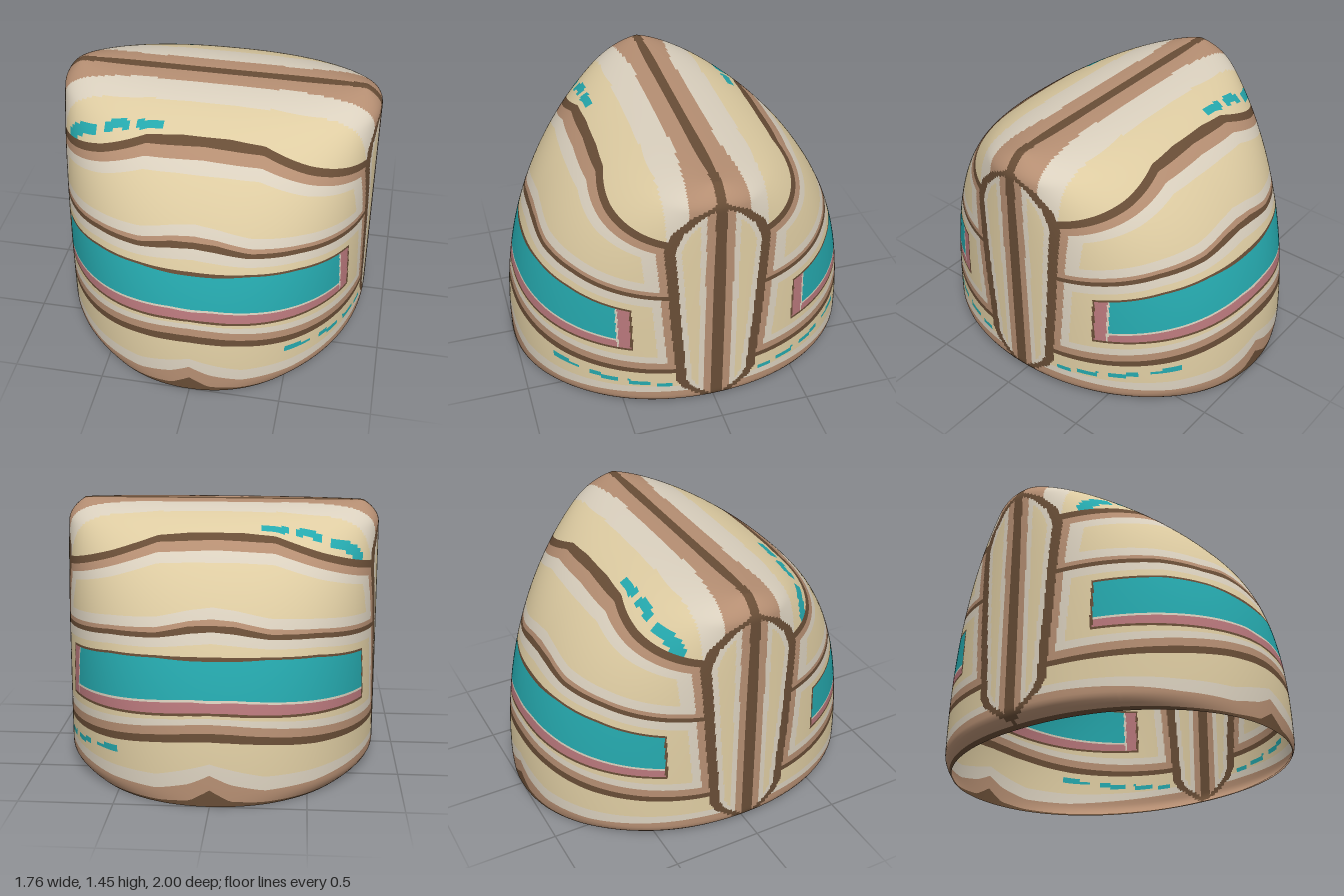
import * as THREE from 'three';

const HEIGHT = 1.45, POWER = 2.25;
const PALETTE = {
  cream: 0xdecca2, sand: 0xdad0be, tan: 0xb58e72, brown: 0x684d36, teal: 0x25a8ad, rose: 0xb8777b,
};
const NAMES = Object.keys(PALETTE);

// Curve stations across the width; each stripe's upper edge is given at these
const STATIONS = [0, 0.12, 0.3, 0.55, 0.85];
const STRIPES = [
  ['hem', 'brown', [0.09, 0.03, 0.015, 0.012, 0.015]],
  ['hem', 'tan', [0.17, 0.12, 0.08, 0.085, 0.12]],
  ['hem', 'sand', [0.23, 0.2, 0.155, 0.15, 0.16]],
  ['lower', 'cream', [0.345, 0.34, 0.325, 0.29, 0.26]],
  ['seam', 'brown', [0.39, 0.385, 0.365, 0.33, 0.29]],
  ['panel', 'tan', [0.435, 0.43, 0.41, 0.375, 0.335]],
  ['panel', 'sand', [0.465, 0.46, 0.445, 0.415, 0.38]],
  ['panel', 'cream', [0.48, 0.475, 0.462, 0.442, 0.422]],
  ['outline', 'brown', [0.492, 0.49, 0.475, 0.455, 0.435]],
  ['badge', 'rose', [0.54, 0.545, 0.53, 0.505, 0.475]],
  ['badge', 'sand', [0.555, 0.557, 0.542, 0.517, 0.487]],
  ['badge', 'teal', [0.745, 0.745, 0.75, 0.735, 0.685]],
  ['outline', 'brown', [0.767, 0.765, 0.762, 0.747, 0.697]],
  ['panel', 'cream', [0.83, 0.82, 0.8, 0.785, 0.735]],
  ['panel', 'sand', [0.885, 0.875, 0.845, 0.83, 0.785]],
  ['seam', 'brown', [0.915, 0.91, 0.87, 0.855, 0.81]],
  ['panel', 'tan', [0.945, 0.935, 0.895, 0.875, 0.835]],
  ['panel', 'sand', [1.0, 0.985, 0.945, 0.925, 0.885]],
  ['panel', 'cream', [1.2, 1.2, 1.19, 1.11, 1.03]],
  ['panel', 'sand', [1.255, 1.25, 1.24, 1.16, 1.07]],
  ['panel', 'tan', [1.3, 1.295, 1.285, 1.2, 1.11]],
  ['seam', 'brown', [1.33, 1.33, 1.315, 1.235, 1.15]],
];

function interpolate(xs, ys, x) {
  if (x <= xs[0]) return ys[0];
  for (let i = 1; i < xs.length; i++) {
    if (x <= xs[i]) return THREE.MathUtils.lerp(ys[i - 1], ys[i], (x - xs[i - 1]) / (xs[i] - xs[i - 1]));
  }
  return ys[ys.length - 1];
}

// Dome profile: depth at a height, and its inverse
const depthAt = (y) => Math.pow(Math.max(0, 1 - Math.pow(y / HEIGHT, POWER)), 1 / POWER);
const heightAt = (d) => HEIGHT * Math.pow(Math.max(0, 1 - Math.pow(d, POWER)), 1 / POWER);

// Point on the cloth: rounded-oval sections flattening to a straight ridge
function surfacePoint(angle, y) {
  const n = 2.1 + 0.25 * Math.pow(y / HEIGHT, 2);
  const c = Math.cos(angle), s = Math.sin(angle);
  const top = Math.max(0, (y - 1.33) / 0.12), bottom = Math.max(0, (0.08 - y) / 0.08);
  const a = 0.88 - 0.09 * top * top - 0.08 * bottom * bottom;
  return [
    a * Math.sign(c) * Math.pow(Math.abs(c), 2 / n), y,
    depthAt(y) * Math.sign(s) * Math.pow(Math.abs(s), 2 / n),
  ];
}

// Half-width of the pointed panel on each side
const ARCH_Y = [0.02, 0.05, 0.14, 0.2, 0.6, 1.1, 1.2, 1.3, 1.38];
const ARCH_Z = [0, 0.06, 0.19, 0.225, 0.255, 0.285, 0.245, 0.15, 0];

const inRanges = (v, ranges) => ranges.some(([a, b]) => v >= a && v <= b);

// Stitch dashes: high on the right, low on the left
function isDash(zone, x, y, z) {
  if (zone === 'crown' && x < 0) {
    const line = 0.42 - Math.max(0, -x - 0.62) * 0.4;
    return Math.abs(z - line) < 0.022 && inRanges(-x, [[0.24, 0.37], [0.41, 0.55], [0.6, 0.78]]);
  }
  if (zone === 'lower' && x > 0) {
    const line = interpolate([0.26, 0.6, 0.84], [0.17, 0.205, 0.24], z);
    return Math.abs(y - line) < 0.014 && inRanges(z, [[0.25, 0.33], [0.37, 0.48], [0.53, 0.67], [0.72, 0.84]]);
  }
  return false;
}

function colourOf(zone, colour, row, x, y, zSigned) {
  const z = Math.abs(zSigned);
  const arch = y > 1.38 ? 0 : interpolate(ARCH_Y, ARCH_Z, y);

  // Ribbed side panel and its border
  if (z < arch) {
    if (z < 0.03) return 'brown';
    if (z > arch - 0.055) return 'brown';
    if (z < 0.075) return 'tan';
    if (z < 0.105) return 'sand';
    return z < arch - 0.085 ? 'cream' : 'sand';
  }
  if (isDash(zone, x, y, z)) return 'teal';
  // Ridge stripes over the crown
  if (zone === 'crown') {
    const flare = Math.max(0, Math.abs(x) - 0.45) * 0.1;
    if (z < 0.025) return 'brown';
    if (z < 0.12 + flare) return 'tan';
    return z < 0.27 ? 'sand' : 'cream';
  }
  // Nested borders beside the side panel
  const gap = z - arch;
  if (zone === 'panel' || zone === 'outline' || zone === 'badge') {
    if (gap < 0.04) return 'tan';
    if (gap < (row > 15 ? 0.11 : 0.085) && colour !== 'tan') return 'sand';
  }
  // Ends of the framed badge
  if (zone === 'outline' && z < 0.45) return 'cream';
  if (zone === 'badge') {
    if (z < 0.45) return 'cream';
    if (z < 0.462) return 'brown';
    if (x > 0 && z < 0.52) return 'rose';
    if (x > 0 && z < 0.53) return 'sand';
  }
  return colour;
}

// Rows follow the stripes, then close in evenly to the ridge
function buildRows() {
  const rows = [{ height: () => 0 }];
  let lower = [0, 0, 0, 0, 0];
  STRIPES.forEach(([zone, colour, upper], index) => {
    const base = lower;
    const steps = Math.ceil((upper[0] - base[0]) / 0.015);
    for (let k = 1; k <= steps; k++) {
      const edge = base.map((b, i) => THREE.MathUtils.lerp(b, upper[i], k / steps));
      rows.push({ zone, colour, index, height: (x) => interpolate(STATIONS, edge, x) });
    }
    lower = upper;
  });
  const crownSteps = 34;
  for (let k = 1; k <= crownSteps; k++) {
    const f = 1 - k / crownSteps;
    rows.push({
      zone: 'crown', colour: 'cream', index: 99,
      height: (x) => heightAt(f * depthAt(interpolate(STATIONS, lower, x))),
    });
  }
  return rows;
}

// Columns are finer near the detailed sides
function buildAngles() {
  const quarter = [];
  for (let i = 0; i < 64; i++) quarter.push(0.6 * i / 64);
  for (let i = 0; i < 40; i++) quarter.push(0.6 + (Math.PI / 2 - 0.6) * i / 40);
  const half = [...quarter, Math.PI / 2, ...quarter.slice(1).reverse().map((a) => Math.PI - a)];
  return [...half, ...half.map((a) => a + Math.PI)];
}

export function createModel() {
  const rows = buildRows(), angles = buildAngles(), n = angles.length;
  const points = [];
  for (const row of rows) {
    for (const angle of angles) {
      const across = 0.88 * Math.pow(Math.abs(Math.cos(angle)), 0.9);
      points.push(surfacePoint(angle, row.height(across)));
    }
  }

  // Sort the cloth's cells by colour
  const faces = Object.fromEntries(NAMES.map((name) => [name, []]));
  for (let j = 1; j < rows.length; j++) {
    for (let i = 0; i < n; i++) {
      const a = (j - 1) * n + i, b = (j - 1) * n + (i + 1) % n, c = a + n, d = b + n;
      const mid = [0, 1, 2].map((k) => (points[a][k] + points[b][k] + points[c][k] + points[d][k]) / 4);
      const { zone, colour, index } = rows[j];
      faces[colourOf(zone, colour, index, ...mid)].push(a, c, b, b, c, d);
    }
  }

  const geometry = new THREE.BufferGeometry();
  geometry.setAttribute('position', new THREE.Float32BufferAttribute(points.flat(), 3));
  const indices = [];
  NAMES.forEach((name, m) => {
    geometry.addGroup(indices.length, faces[name].length, m);
    for (const v of faces[name]) indices.push(v);
  });
  geometry.setIndex(indices);
  geometry.computeVertexNormals();

  const materials = NAMES.map((name) => {
    const material = new THREE.MeshStandardMaterial({ color: PALETTE[name], side: THREE.DoubleSide });
    material.name = name;
    return material;
  });
  const cap = new THREE.Mesh(geometry, materials);
  cap.name = 'stripedCap';
  const group = new THREE.Group();
  group.name = 'cap';
  group.add(cap);
  return group;
}
